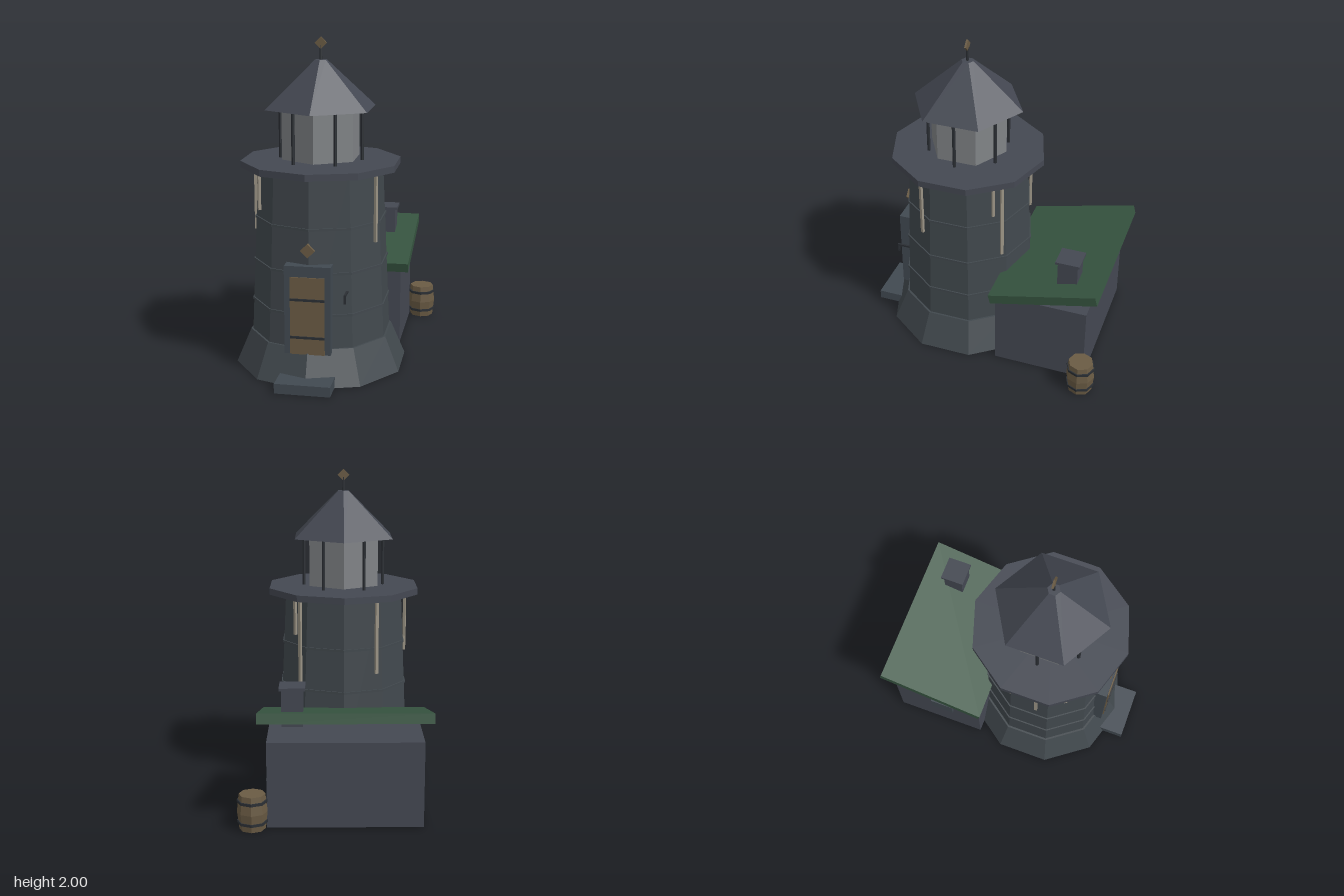
import * as THREE from 'three';

const mat = (name, color, extra = {}) => {
  const m = new THREE.MeshStandardMaterial({ color, flatShading: true, ...extra });
  m.name = name;
  return m;
};

export function createModel() {
  const model = new THREE.Group();
  model.name = 'lighthouse';

  const stone = mat('stone', 0x41484d);
  const slate = mat('slate', 0x444852);
  const trim = mat('trim', 0x414951);
  const iron = mat('iron', 0x2b2f34);
  const wood = mat('wood', 0x6a5b44);
  const green = mat('roofGreen', 0x365440);
  const glass = mat('glass', 0x808386, { side: THREE.DoubleSide });
  const icicle = mat('icicle', 0x9a9384);

  const add = (parent, name, geo, material, x, y, z) => {
    const mesh = new THREE.Mesh(geo, material);
    mesh.name = name;
    mesh.position.set(x, y, z);
    parent.add(mesh);
    return mesh;
  };
  const box = (parent, name, m, w, h, d, x, y, z) =>
    add(parent, name, new THREE.BoxGeometry(w, h, d), m, x, y, z);
  // Faceted drum between two heights; a vertex always points to +z
  const drum = (parent, name, m, r0, r1, y0, y1, sides, x = 0, z = 0, open = false) =>
    add(parent, name, new THREE.CylinderGeometry(r1, r0, y1 - y0, sides, 1, open), m, x, (y0 + y1) / 2, z);

  // Tower, with its axis as the local origin
  const tower = new THREE.Group();
  tower.name = 'tower';
  tower.position.set(-0.063, 0, 0.2);
  model.add(tower);
  drum(tower, 'towerBase', stone, 0.53, 0.44, 0, 0.21, 10);
  drum(tower, 'towerWall', stone, 0.428, 0.38, 0.2, 1.24, 10);
  for (const y of [0.41, 0.66, 0.925]) {
    const r = 0.428 - (y - 0.2) * 0.046 + 0.008;
    drum(tower, 'stoneCourse', stone, r, r, y - 0.007, y + 0.007, 10);
  }
  drum(tower, 'galleryDeck', slate, 0.487, 0.487, 1.23, 1.27, 10);

  // Lantern room
  drum(tower, 'lampPedestal', iron, 0.1, 0.1, 1.265, 1.3, 8);
  drum(tower, 'lanternGlass', glass, 0.247, 0.247, 1.28, 1.57, 6, 0, 0, true);
  for (let i = 0; i < 6; i++) {
    const a = (i * Math.PI) / 3;
    drum(tower, 'lanternPost', iron, 0.011, 0.011, 1.265, 1.59, 6, 0.25 * Math.cos(a), 0.25 * Math.sin(a));
  }
  drum(tower, 'lanternRoof', slate, 0.35, 0.038, 1.58, 1.865, 6);
  drum(tower, 'finialRod', iron, 0.009, 0.007, 1.86, 1.95, 6);
  const finial = box(tower, 'finialDiamond', wood, 0.052, 0.052, 0.012, 0, 1.963, 0);
  finial.rotation.z = Math.PI / 4;

  // Icicles under the deck: x, z, lower end
  const icicles = [
    [0.36, 0.18, 0.815], [0.27, -0.31, 0.7], [0.3, -0.265, 1.0], [-0.2, -0.345, 0.77],
    [-0.385, -0.12, 0.96], [-0.397, 0.05, 0.83], [-0.332, 0.22, 0.99],
  ];
  for (const [x, z, y] of icicles) {
    const strip = box(tower, 'icicle', icicle, 0.019, 1.235 - y, 0.016, x, (1.235 + y) / 2, z);
    strip.rotation.y = Math.atan2(x, z);
  }

  // Doorway, step and fittings
  const door = new THREE.Group();
  door.name = 'doorway';
  door.position.x = -0.063;
  model.add(door);
  box(door, 'doorFrame', trim, 0.275, 0.535, 0.09, 0, 0.4525, 0.595);
  box(door, 'doorPanel', wood, 0.205, 0.47, 0.008, 0, 0.42, 0.643);
  for (const y of [0.29, 0.52]) box(door, 'doorStrap', iron, 0.205, 0.014, 0.008, 0, y, 0.65);
  const plaque = box(door, 'doorDiamond', wood, 0.06, 0.06, 0.02, 0, 0.81, 0.62);
  plaque.rotation.z = Math.PI / 4;
  box(door, 'frontStep', trim, 0.33, 0.06, 0.21, 0, 0.03, 0.705);
  box(door, 'hookArm', iron, 0.012, 0.012, 0.1, 0.218, 0.55, 0.575);
  box(door, 'hookDrop', iron, 0.012, 0.055, 0.012, 0.218, 0.528, 0.62);

  // Lean-to hut behind the tower
  const hut = new THREE.Group();
  hut.name = 'hut';
  model.add(hut);
  box(hut, 'hutWalls', slate, 0.91, 0.515, 0.585, -0.065, 0.2575, -0.4225);
  const roof = box(hut, 'hutRoof', green, 1.005, 0.06, 0.695, -0.0625, 0.595, -0.443);
  roof.rotation.x = 0.242;
  box(hut, 'chimneyStack', slate, 0.125, 0.22, 0.125, 0.243, 0.69, -0.563);
  box(hut, 'chimneyCap', slate, 0.152, 0.016, 0.152, 0.243, 0.806, -0.563);
  box(hut, 'hutWindow', trim, 0.016, 0.115, 0.15, -0.528, 0.3375, -0.39);

  // Barrel at the back corner
  const barrel = new THREE.Group();
  barrel.name = 'barrel';
  barrel.position.set(0.474, 0, -0.719);
  model.add(barrel);
  drum(barrel, 'barrelLower', wood, 0.077, 0.089, 0, 0.105, 8);
  drum(barrel, 'barrelUpper', wood, 0.089, 0.077, 0.105, 0.212, 8);
  for (const y of [0.045, 0.17]) drum(barrel, 'barrelHoop', iron, 0.089, 0.089, y - 0.008, y + 0.008, 8);

  return model;
}
